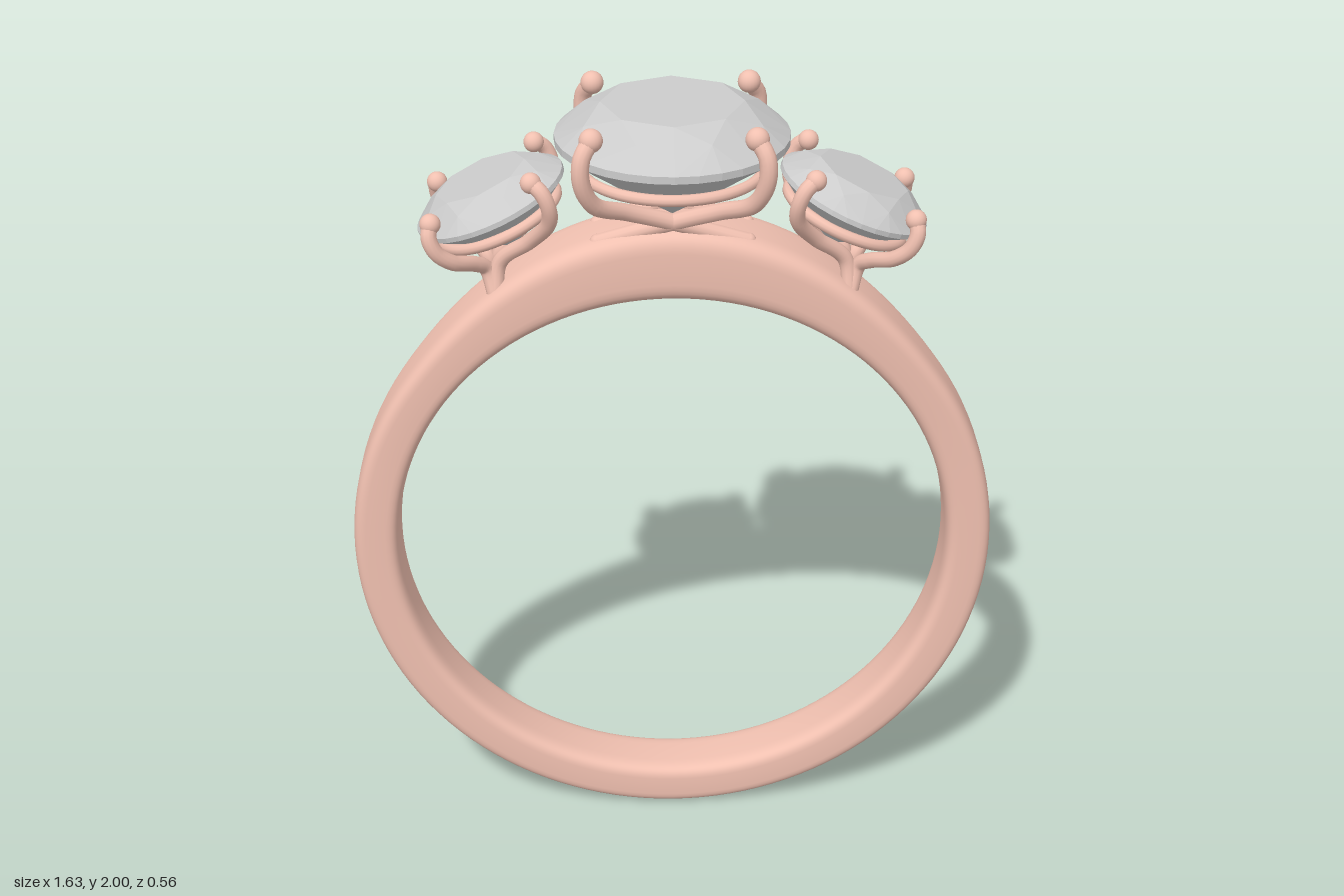
import * as THREE from 'three';
import { ConvexGeometry } from 'three/addons/geometries/ConvexGeometry.js';

const metal = new THREE.MeshStandardMaterial({ color: 0xf0c0b0 });
const gem = new THREE.MeshStandardMaterial({ color: 0xcccccc, flatShading: true });

function add(parent, name, geometry, material) {
  const mesh = new THREE.Mesh(geometry, material);
  mesh.name = name;
  parent.add(mesh);
  return mesh;
}

// Band: rounded-rectangle section swept round, thicker and wider at the top
function bandGeometry() {
  const N = 128, M = 40, inner = 0.7, cy = 0.817;
  const pos = [], index = [];
  const power = (v, e) => Math.sign(v) * Math.pow(Math.abs(v), e);
  for (let i = 0; i < N; i++) {
    const a = (i / N) * Math.PI * 2;
    const fromTop = THREE.MathUtils.radToDeg(Math.min(a, Math.PI * 2 - a));
    const outer = 0.816 + 0.07 * (1 - THREE.MathUtils.smoothstep(fromTop, 0, 55));
    const w = 0.082 + 0.028 * (1 - THREE.MathUtils.smoothstep(fromTop, 0, 75));
    for (let j = 0; j < M; j++) {
      const b = (j / M) * Math.PI * 2;
      const r = (inner + outer) / 2 + ((outer - inner) / 2) * power(Math.cos(b), 0.45);
      pos.push(Math.sin(a) * r, cy + Math.cos(a) * r, w * power(Math.sin(b), 0.45));
      const p = i * M + j, q = i * M + ((j + 1) % M);
      const s = ((i + 1) % N) * M + j, t = ((i + 1) % N) * M + ((j + 1) % M);
      index.push(p, q, s, q, t, s);
    }
  }
  const g = new THREE.BufferGeometry();
  g.setAttribute('position', new THREE.Float32BufferAttribute(pos, 3));
  g.setIndex(index);
  g.computeVertexNormals();
  return g;
}

// Faceted round stone with its girdle at y = 0
function stoneGeometry(s) {
  const points = [new THREE.Vector3(0, -0.2 * s, 0)];
  const ring = (n, r, y, shift) => {
    for (let i = 0; i < n; i++) {
      const a = ((i + shift) / n) * Math.PI * 2;
      points.push(new THREE.Vector3(Math.cos(a) * r * s, y * s, Math.sin(a) * r * s));
    }
  };
  ring(8, 0.17, 0.085, 0);     // table
  ring(8, 0.225, 0.056, 0.5);  // crown
  ring(32, 0.28, 0.008, 0);    // girdle
  ring(32, 0.28, -0.01, 0);
  ring(8, 0.13, -0.118, 0.5);  // pavilion
  return new ConvexGeometry(points);
}

// Stone, gallery wire and four prongs; foot(sx) gives the lower prong points
function makeHead(name, s, wire, ball, foot) {
  const head = new THREE.Group();
  head.name = name;
  add(head, 'stone', stoneGeometry(s), gem);

  const gallery = add(head, 'galleryWire', new THREE.TorusGeometry(0.22 * s, 0.014, 10, 64), metal);
  gallery.rotation.x = Math.PI / 2;
  gallery.position.y = -0.075 * s;

  const upper = [[0.19, 0.062], [0.212, 0.025], [0.213, -0.035], [0.185, -0.1]];
  for (const sx of [-1, 1]) {
    for (const sz of [-1, 1]) {
      const path = [
        ...upper.map(([c, y]) => [c * sx, y, c]),
        ...foot(sx),
      ].map(([x, y, z]) => new THREE.Vector3(x * s, y * s, z * sz * s));
      add(head, 'prong', new THREE.TubeGeometry(new THREE.CatmullRomCurve3(path), 40, wire, 12), metal);
      add(head, 'prongTip', new THREE.SphereGeometry(ball, 20, 14), metal).position.copy(path[0]);
      add(head, 'prongFoot', new THREE.SphereGeometry(wire, 12, 8), metal).position.copy(path[path.length - 1]);
    }
  }
  return head;
}

export function createModel() {
  const ring = new THREE.Group();
  ring.name = 'ring';
  add(ring, 'band', bandGeometry(), metal);

  // Centre head: prongs cross under the stone and run down onto the band
  const centre = makeHead('centreHead', 1, 0.021, 0.028, (sx) => [
    [0.11 * sx, -0.145, 0.12], [0, -0.19, 0.075], [-0.18 * sx, -0.25, 0.055],
  ]);
  centre.position.y = 1.91;
  ring.add(centre);

  // Side heads: tilted outward, prongs gathered into short legs
  for (const side of ['left', 'right']) {
    const head = makeHead(side + 'Head', 0.68, 0.019, 0.025, (sx) => sx > 0
      ? [[0.135, -0.17, 0.1], [0.115, -0.22, 0.055], [0.128, -0.33, 0.08]]
      : [[-0.08, -0.165, 0.11], [0.06, -0.215, 0.055], [0.128, -0.33, 0.08]]);
    head.position.set(0.435, 1.755, 0);
    head.rotation.z = THREE.MathUtils.degToRad(-23);
    const mount = new THREE.Group();
    mount.name = side + 'Mount';
    mount.rotation.y = side === 'left' ? 0 : Math.PI;
    mount.add(head);
    ring.add(mount);
  }
  return ring;
}
